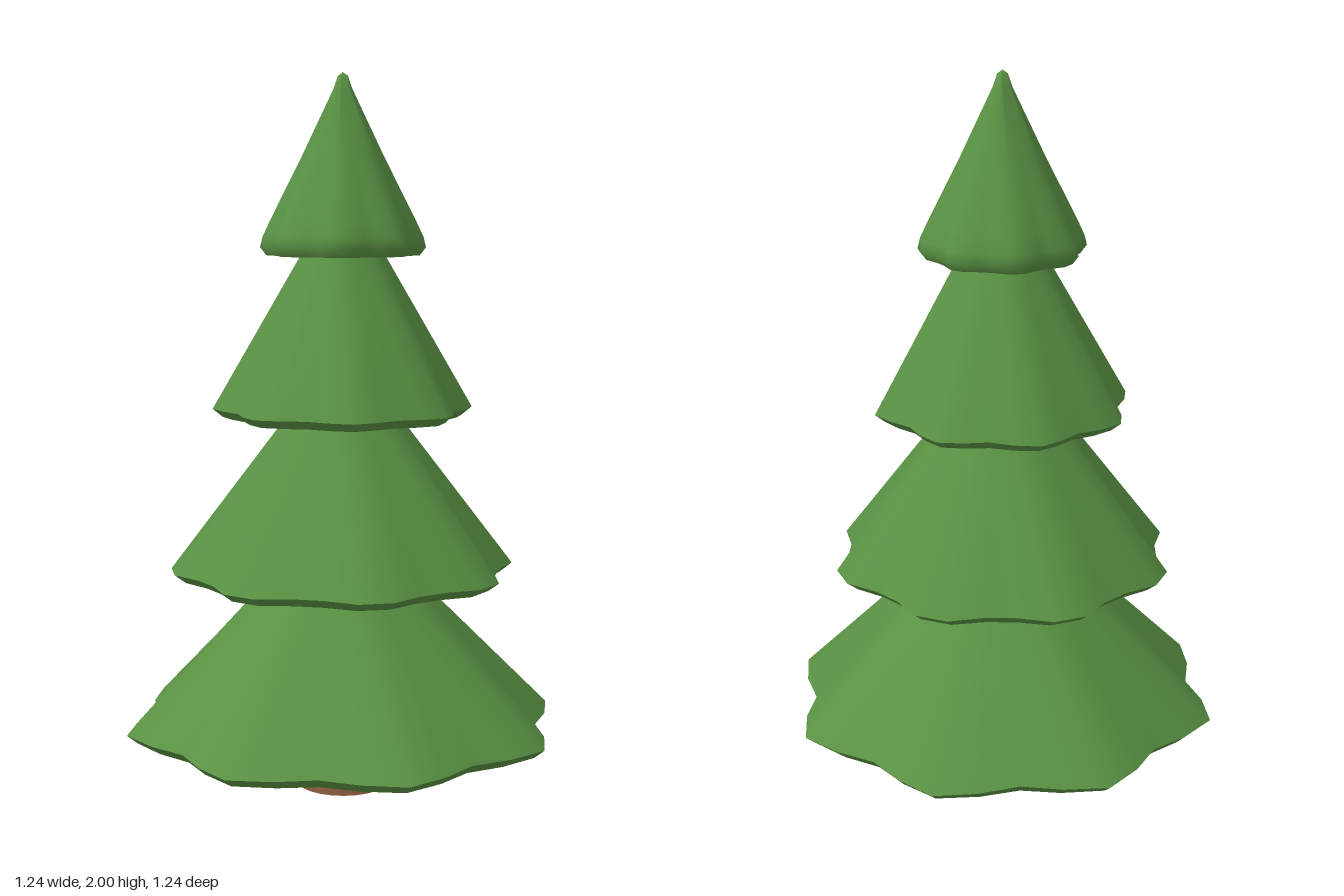
import * as THREE from 'three';
import { toCreasedNormals } from 'three/addons/utils/BufferGeometryUtils.js';

function paint(name, color) {
  const material = new THREE.MeshStandardMaterial({ color });
  material.name = name;
  return material;
}
const needles = paint('needleGreen', 0x599143);
const shade = paint('undersideGreen', 0x366a31);
const bark = paint('barkBrown', 0x7b5138);
const cutWood = paint('cutWoodBrown', 0x4d3424);

const LOBES = 8;
const SEGMENTS = 32;
const RIPPLE = 0.064;

// Turned surface from [radius, y] pairs, listed from the bottom up
function turned(profile, segments) {
  return new THREE.LatheGeometry(profile.map(([r, y]) => new THREE.Vector2(r, y)), segments);
}

// Turned surface that waves in and out in eight lobes, strongest at the rim
function rippled(profile, rim, phase) {
  const geometry = turned(profile, SEGMENTS);
  const p = geometry.attributes.position;
  for (let i = 0; i < p.count; i++) {
    const x = p.getX(i), z = p.getZ(i);
    const fade = (Math.hypot(x, z) / rim) ** 2;
    const k = 1 + RIPPLE * fade * Math.cos(LOBES * Math.atan2(z, x) - phase);
    p.setX(i, x * k);
    p.setZ(i, z * k);
  }
  return toCreasedNormals(geometry, 1.05);
}

function addPart(parent, name, geometry, material) {
  const mesh = new THREE.Mesh(geometry, material);
  mesh.name = name;
  parent.add(mesh);
}

export function createModel() {
  const tree = new THREE.Group();
  tree.name = 'pineTree';

  // Flared trunk, running up into the lowest skirt, with a cut end below
  addPart(tree, 'trunk', toCreasedNormals(turned([
    [0.13, 0], [0.117, 0.014], [0.101, 0.05], [0.091, 0.085], [0.087, 0.12], [0.086, 0.3],
  ], 24), 0.9), bark);
  addPart(tree, 'trunkBase', new THREE.CircleGeometry(0.13, 24).rotateX(Math.PI / 2), cutWood);

  // Four stacked skirts: hollow is the underside's centre height,
  // the profile runs from the lower edge over the rim to the tip
  const tiers = [
    { hollow: 0.24, rim: 0.584, profile: [
      [0.558, 0.162], [0.584, 0.187], [0.195, 0.61], [0.05, 0.76], [0, 0.78]] },
    { hollow: 0.73, rim: 0.461, profile: [
      [0.433, 0.608], [0.461, 0.632], [0.155, 1.06], [0.04, 1.21], [0, 1.23]] },
    { hollow: 1.17, rim: 0.341, profile: [
      [0.317, 1.058], [0.341, 1.081], [0.113, 1.51], [0.03, 1.65], [0, 1.67]] },
    { hollow: 1.61, rim: 0.219, profile: [
      [0.204, 1.505], [0.219, 1.527], [0.213, 1.555], [0.194, 1.6], [0.111, 1.775],
      [0.026, 1.955], [0.014, 1.99], [0, 2]] },
  ];
  tiers.forEach(({ hollow, rim, profile }, i) => {
    const tier = new THREE.Group();
    tier.name = `branchTier${i + 1}`;
    const phase = 0.8 * i;
    addPart(tier, 'skirt', rippled(profile, rim, phase), needles);
    addPart(tier, 'underside', rippled([[0, hollow], profile[0]], rim, phase), shade);
    tree.add(tier);
  });

  return tree;
}
